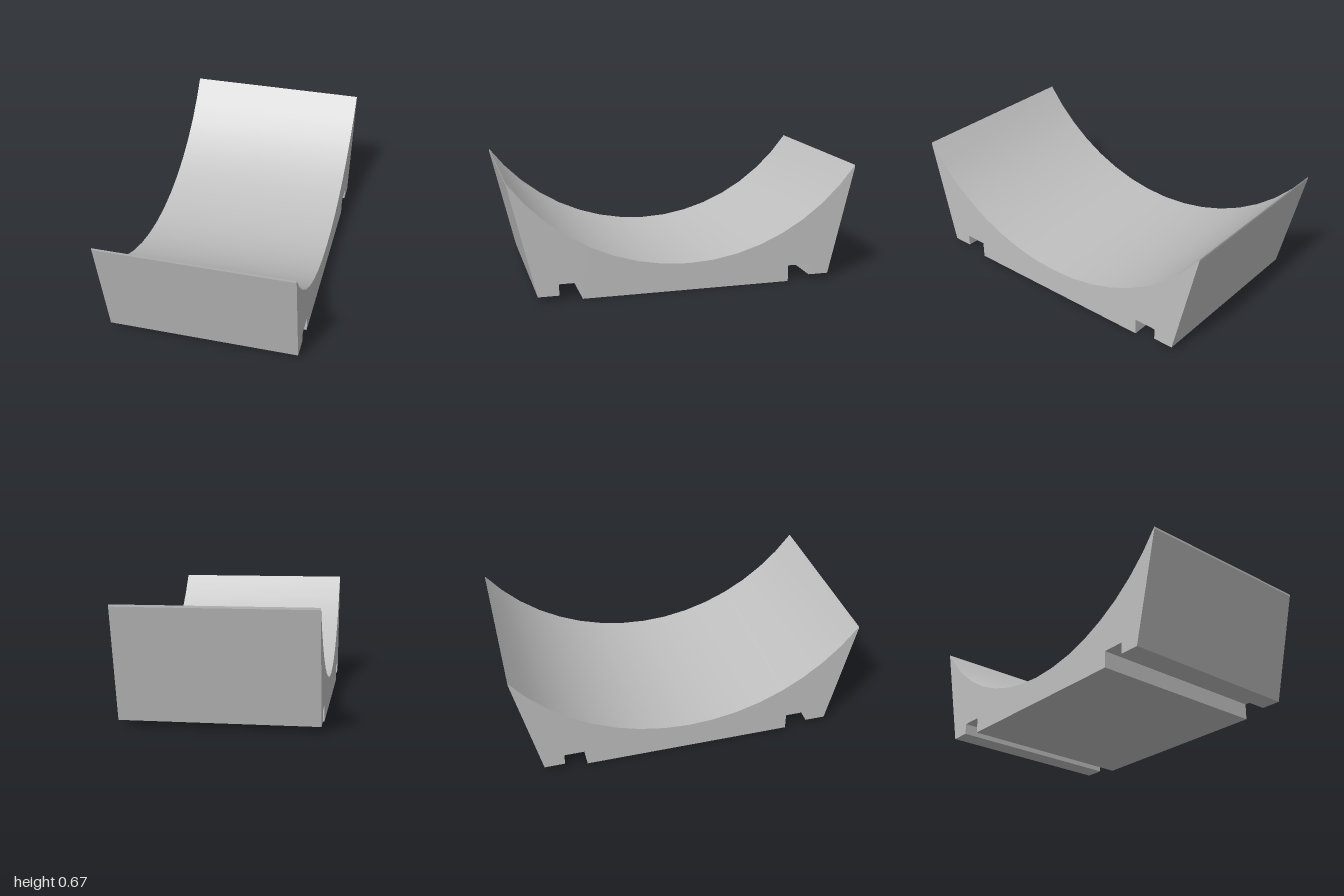
import * as THREE from 'three';
import { toCreasedNormals } from 'three/addons/utils/BufferGeometryUtils.js';

export function createModel() {
  const group = new THREE.Group();
  group.name = 'curvedCradle';
  const grey = new THREE.MeshStandardMaterial({ color: 0xc0c0c0 });
  grey.name = 'light grey';

  const width = 1.09, tipY = 0.67, lowY = 0.157, segments = 16;

  // Half of the underside: raised base, groove, foot and sloping end wall
  const half = [[0.605, 0], [0.605, 0.095], [0.735, 0.095], [0.735, 0.03], [0.853, 0.03], [1, 0.658]];
  const points = [
    ...half.slice().reverse().map(([z, y]) => new THREE.Vector2(-z, y)),
    ...half.map(([z, y]) => new THREE.Vector2(z, y)),
  ];

  // Circular saddle from tip to tip
  const sag = tipY - lowY;
  const radius = (1 + sag * sag) / (2 * sag);
  const spread = Math.asin(1 / radius);
  for (let i = 0; i <= segments; i++) {
    const a = spread * (1 - (2 * i) / segments);
    points.push(new THREE.Vector2(radius * Math.sin(a), lowY + radius * (1 - Math.cos(a))));
  }

  // Profile runs along z and is extruded across x
  const solid = new THREE.ExtrudeGeometry(new THREE.Shape(points), { depth: width, bevelEnabled: false });
  solid.translate(0, 0, -width / 2);
  solid.rotateY(-Math.PI / 2);

  const cradle = new THREE.Mesh(toCreasedNormals(solid, 0.2), grey);
  cradle.name = 'cradleBlock';
  group.add(cradle);
  return group;
}
